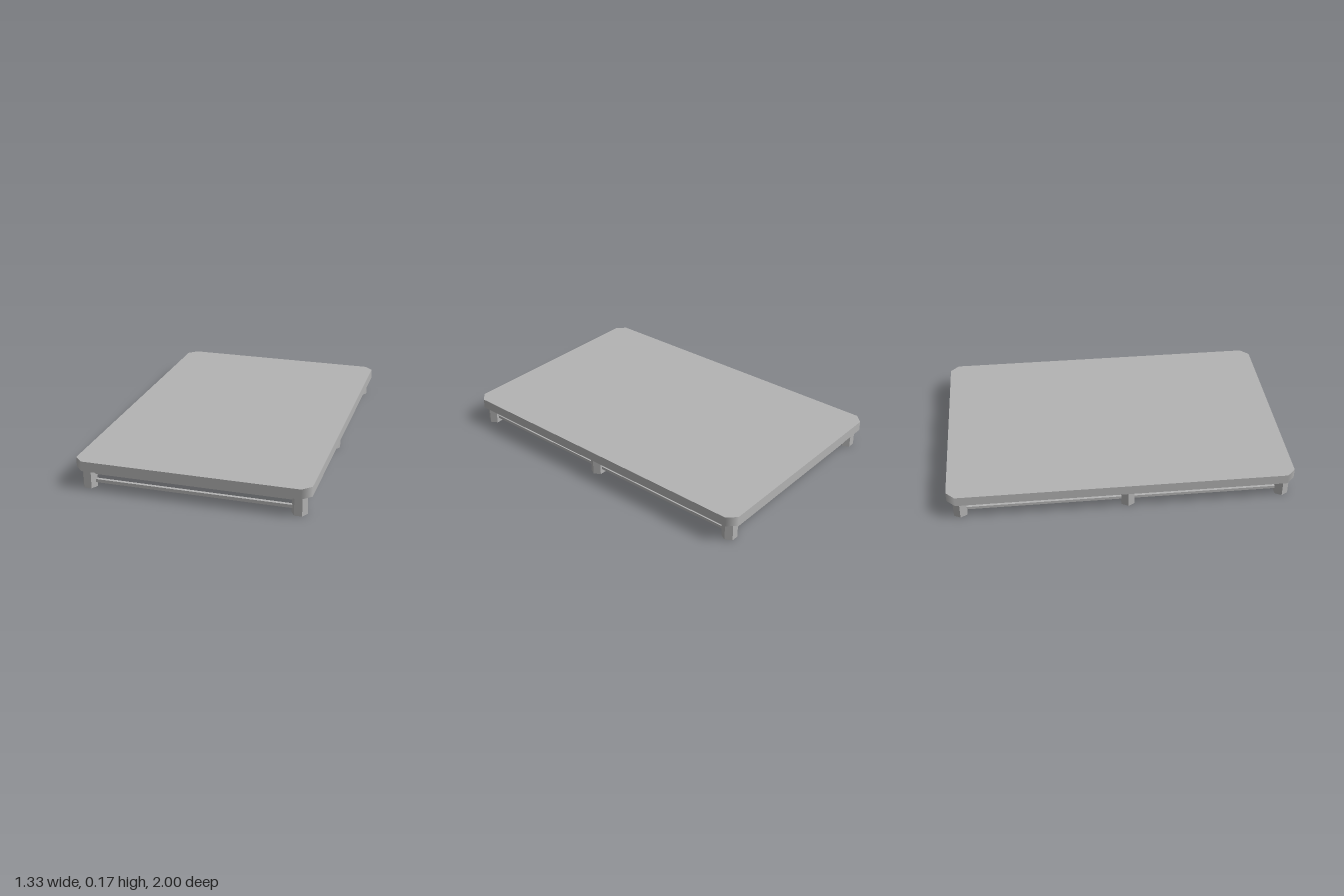
import * as THREE from 'three';

const HALF_X = 0.667, HALF_Z = 1, CUT = 0.05;
const SLAB_BOTTOM = 0.1125, SLAB_TOP = 0.17;
const LEG_X = 0.597, LEG_R = 0.0435;
const LEG_Z = [0.935, 0.033, -0.93];

// Slab with cut corners whose shading rolls from one side to the next
function slabGeometry() {
  const shape = new THREE.Shape([
    [-HALF_X + CUT, -HALF_Z], [HALF_X - CUT, -HALF_Z],
    [HALF_X, -HALF_Z + CUT], [HALF_X, HALF_Z - CUT],
    [HALF_X - CUT, HALF_Z], [-HALF_X + CUT, HALF_Z],
    [-HALF_X, HALF_Z - CUT], [-HALF_X, -HALF_Z + CUT],
  ].map(([x, y]) => new THREE.Vector2(x, y)));
  const geo = new THREE.ExtrudeGeometry(shape, { depth: SLAB_TOP - SLAB_BOTTOM, bevelEnabled: false });
  geo.rotateX(-Math.PI / 2).translate(0, SLAB_BOTTOM, 0);
  const pos = geo.attributes.position, nor = geo.attributes.normal;
  for (let i = 0; i < pos.count; i++) {
    if (Math.abs(nor.getY(i)) > 0.5) continue;
    const z = pos.getZ(i);
    if (Math.abs(z) > HALF_Z - 0.001) nor.setXYZ(i, 0, 0, Math.sign(z));
    else nor.setXYZ(i, Math.sign(pos.getX(i)), 0, 0);
  }
  return geo;
}

export function createModel() {
  const group = new THREE.Group();
  const grey = new THREE.MeshStandardMaterial({ color: 0xb3b3b3 });
  grey.name = 'grey';

  const add = (name, geo, x = 0, y = 0, z = 0) => {
    const mesh = new THREE.Mesh(geo, grey);
    mesh.name = name;
    mesh.position.set(x, y, z);
    group.add(mesh);
  };

  add('slab', slabGeometry());

  // Hexagonal legs, points facing sideways
  const leg = new THREE.CylinderGeometry(LEG_R, LEG_R, SLAB_BOTTOM, 6).toNonIndexed();
  leg.rotateY(Math.PI / 6);
  leg.computeVertexNormals();
  for (const x of [-LEG_X, LEG_X]) {
    for (const z of LEG_Z) add('leg', leg, x, SLAB_BOTTOM / 2, z);
  }

  // Two levels of rails joining the legs all round
  const zMid = (LEG_Z[0] + LEG_Z[2]) / 2, zLen = LEG_Z[0] - LEG_Z[2];
  const crossRail = new THREE.BoxGeometry(LEG_X * 2, 0.019, 0.019);
  const sideRail = new THREE.BoxGeometry(0.017, 0.017, zLen);
  for (const y of [0.037, 0.087]) {
    add('frontRail', crossRail, 0, y, LEG_Z[0]);
    add('backRail', crossRail, 0, y, LEG_Z[2]);
    add('leftRail', sideRail, LEG_X, y, zMid);
    add('rightRail', sideRail, -LEG_X, y, zMid);
  }
  return group;
}
